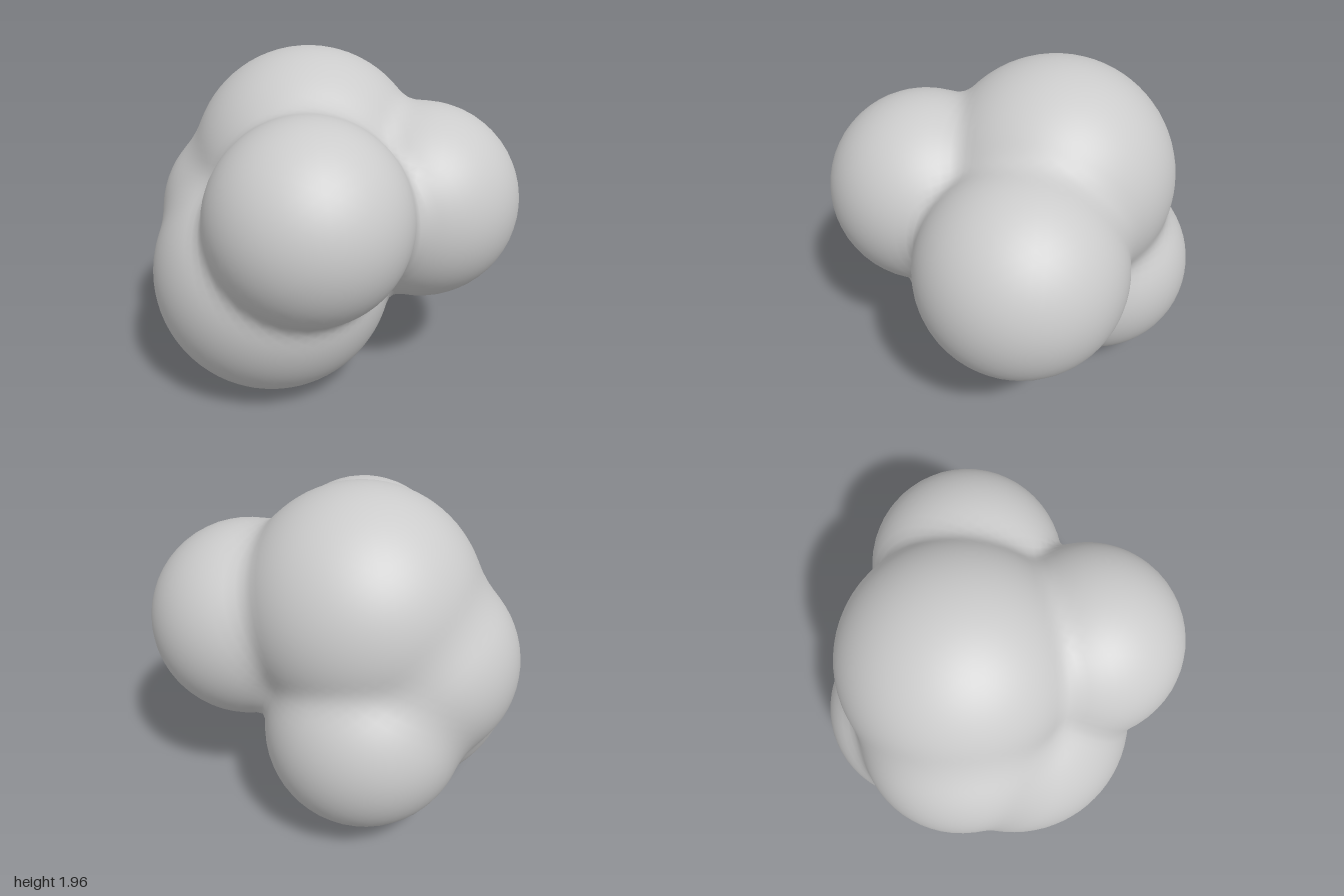
import * as THREE from 'three';
import { mergeVertices } from 'three/addons/utils/BufferGeometryUtils.js';

// Rounded lobes: centre x, y, z and radius
const LOBES = [
  [-0.43, 1.2, 0.35, 0.555],   // front right
  [0.42, 1.11, 0.43, 0.57],    // front left
  [0.1, 1.28, -0.16, 0.68],    // top
  [0.27, 0.65, -0.36, 0.56],   // lower left
  [-0.25, 0.7, -0.12, 0.7],    // lower right
  [-0.08, 0.96, -0.42, 0.58],  // back
].map(([x, y, z, r]) => ({ centre: new THREE.Vector3(x, y, z), r }));

const CORE = new THREE.Vector3(0, 0.98, 0.03);
const BLEND = 0.08;

// Distance to the union of the lobes, with softened creases
function distance(p) {
  let d = Infinity;
  for (const { centre, r } of LOBES) {
    const e = p.distanceTo(centre) - r;
    const h = Math.max(BLEND - Math.abs(d - e), 0) / BLEND;
    d = Math.min(d, e) - (h * h * BLEND) / 4;
  }
  return d;
}

// A ball whose vertices are moved along their rays onto the lobes
function lobedGeometry() {
  const ball = new THREE.IcosahedronGeometry(1, 18);
  ball.deleteAttribute('normal');
  ball.deleteAttribute('uv');
  const geometry = mergeVertices(ball, 1e-4);
  const position = geometry.attributes.position;
  const direction = new THREE.Vector3();
  const point = new THREE.Vector3();
  for (let i = 0; i < position.count; i++) {
    direction.fromBufferAttribute(position, i).normalize();
    let t = 1.6;
    for (let step = 0; step < 80; step++) {
      point.copy(CORE).addScaledVector(direction, t);
      const d = distance(point);
      if (d < 1e-4) break;
      t -= d;
    }
    position.setXYZ(i, point.x, point.y, point.z);
  }
  geometry.computeVertexNormals();
  return geometry;
}

export function createModel() {
  const group = new THREE.Group();
  group.name = 'lobedBlob';
  const body = new THREE.Mesh(
    lobedGeometry(),
    new THREE.MeshStandardMaterial({ color: 0xcccccc })
  );
  body.name = 'body';
  group.add(body);
  return group;
}
